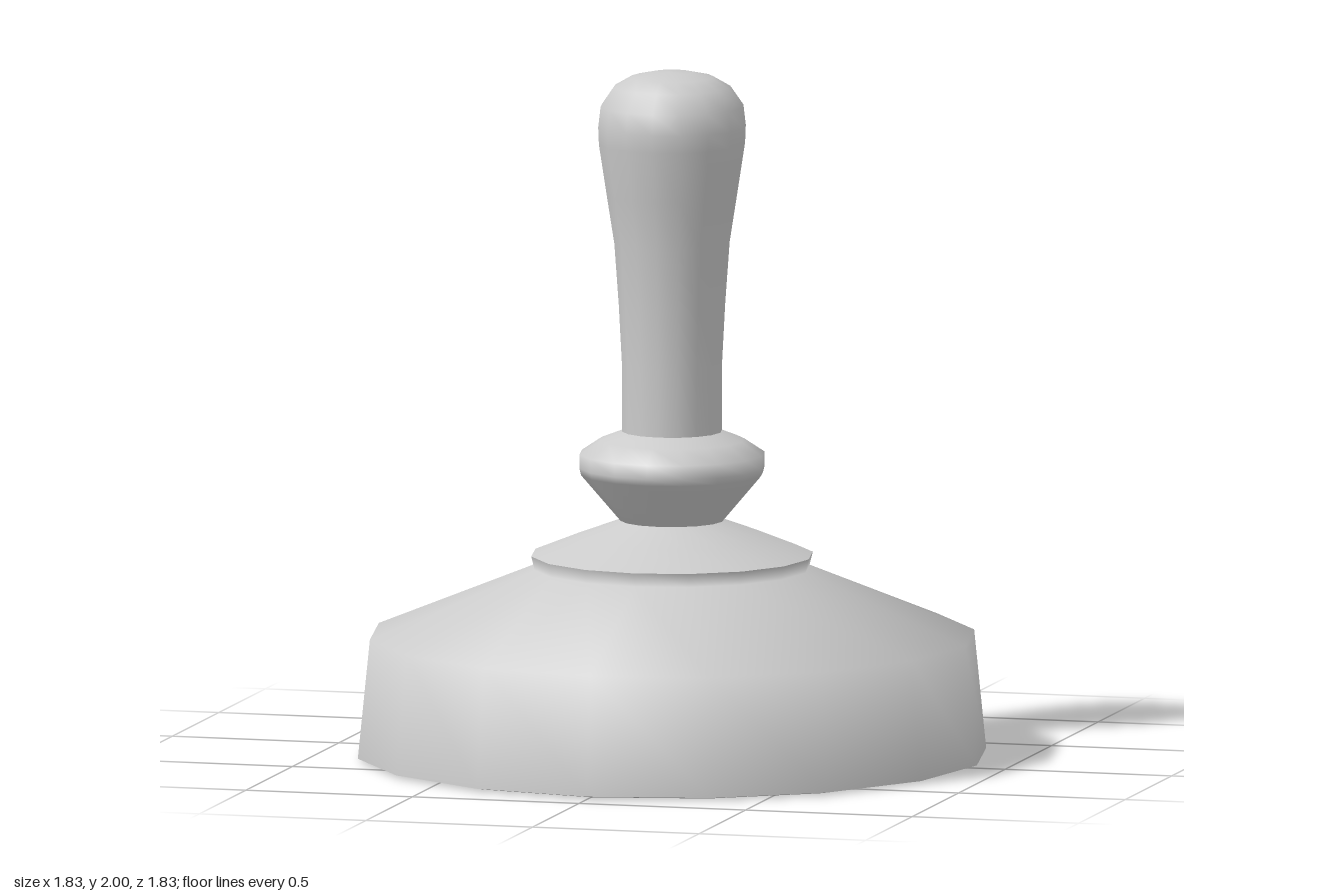
import * as THREE from 'three';

const SIDES = 16;

// Turned part: profile of [radius, height] pairs, listed from bottom to top
function turned(name, profile, material) {
  const points = profile.map(([r, y]) => new THREE.Vector2(r, y));
  const mesh = new THREE.Mesh(new THREE.LatheGeometry(points, SIDES), material);
  mesh.name = name;
  return mesh;
}

export function createModel() {
  const group = new THREE.Group();
  group.name = 'handStamp';
  const material = new THREE.MeshStandardMaterial({ color: 0xcccccc });

  group.add(
    // Flat underside, slightly recessed inside the rim
    turned('stampFace', [[0, 0.01], [0.83, 0.01]], material),
    // Narrow bevelled lip around the underside
    turned('bottomRim', [[0.83, 0.01], [0.87, 0], [0.915, 0.008]], material),
    // Wide tapered base with sloping shoulder and small raised step
    turned('base', [[0.915, 0.008], [0.88, 0.355], [0.4, 0.55], [0.41, 0.59]], material),
    // Conical cap rising to the waist
    turned('cap', [[0.41, 0.59], [0.28, 0.642], [0.15, 0.69]], material),
    // Flared collar under the grip
    turned('collar', [
      [0.15, 0.69], [0.265, 0.825], [0.27, 0.845], [0.27, 0.885], [0.21, 0.925], [0.145, 0.95],
    ], material),
    // Grip swelling to a rounded knob
    turned('handle', [
      [0.145, 0.945], [0.146, 1.15], [0.155, 1.32], [0.168, 1.5], [0.19, 1.64], [0.213, 1.79],
      [0.215, 1.84], [0.208, 1.9], [0.17, 1.955], [0.12, 1.984], [0.06, 1.997], [0, 2],
    ], material),
  );
  return group;
}
